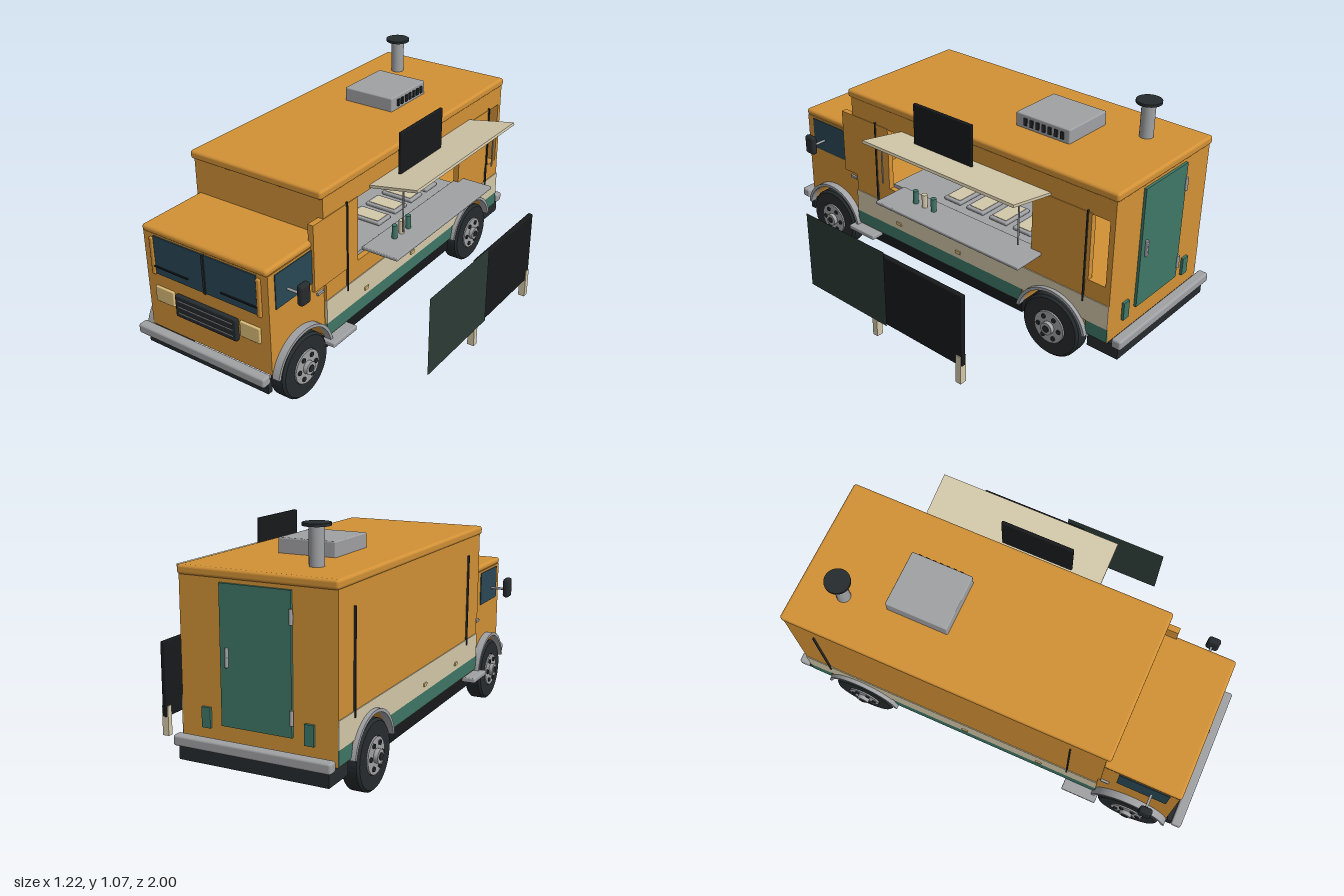
import * as THREE from 'three';
import { RoundedBoxGeometry } from 'three/addons/geometries/RoundedBoxGeometry.js';

const mat = (color) => new THREE.MeshStandardMaterial({ color });
const orange = mat(0xd29136), cream = mat(0xd3c8a9), green = mat(0x3f7767), steel = mat(0xa0a1a4);
const dark = mat(0x262b2e), black = mat(0x17191b), glass = mat(0x2a4856), lamp = mat(0xdcbd78);
const AXLE_Y = 0.15, ARCH_R = 0.175, FRONT_Z = 0.743, REAR_Z = -0.647;

export function createModel() {
  const model = new THREE.Group();
  model.name = 'foodTruck';
  const truck = new THREE.Group();
  truck.name = 'truck';
  truck.position.x = -0.187;
  model.add(truck);

  const add = (name, geo, material, x = 0, y = 0, z = 0, parent = truck) => {
    const m = new THREE.Mesh(geo, material);
    m.name = name;
    m.position.set(x, y, z);
    parent.add(m);
    return m;
  };
  // Box given by its limits on each axis, optionally rounded
  const box = (name, material, [x0, x1], [y0, y1], [z0, z1], r = 0, parent = truck) => {
    const s = [x1 - x0, y1 - y0, z1 - z0];
    const geo = r ? new RoundedBoxGeometry(...s, 2, r) : new THREE.BoxGeometry(...s);
    return add(name, geo, material, (x0 + x1) / 2, (y0 + y1) / 2, (z0 + z1) / 2, parent);
  };
  const rod = (name, material, r, len, x, y, z, axis = 'y', parent = truck, sides = 24) => {
    const geo = new THREE.CylinderGeometry(r, r, len, sides);
    if (axis === 'x') geo.rotateZ(Math.PI / 2);
    if (axis === 'z') geo.rotateX(Math.PI / 2);
    return add(name, geo, material, x, y, z, parent);
  };
  // Side outline with a wheel arch cut from its lower edge, extruded over x
  const archedSide = (name, material, [x0, x1], [y0, y1], [z0, z1], archZ) => {
    const a = Math.asin((y0 - AXLE_Y) / ARCH_R);
    const s = new THREE.Shape();
    s.moveTo(z0, y0);
    s.lineTo(archZ - ARCH_R * Math.cos(a), y0);
    s.absarc(archZ, AXLE_Y, ARCH_R, Math.PI - a, a, true);
    s.lineTo(z1, y0);
    s.lineTo(z1, y1);
    s.lineTo(z0, y1);
    const geo = new THREE.ExtrudeGeometry(s, { depth: x1 - x0, bevelEnabled: false, curveSegments: 24 });
    geo.rotateY(-Math.PI / 2);
    return add(name, geo, material, x1);
  };

  // Kitchen box
  const W = 0.347;
  archedSide('lowerBody', orange, [-W, W], [0.19, 0.46], [-0.93, 0.568], REAR_Z);
  box('leftWall', orange, [-W, -W + 0.03], [0.46, 0.87], [-0.93, 0.58]);
  box('rearWall', orange, [-W, W], [0.46, 0.87], [-0.93, -0.905]);
  box('frontWall', orange, [-W, W], [0.46, 0.87], [0.55, 0.58]);
  box('rightWallTop', orange, [W - 0.03, W], [0.77, 0.87], [-0.93, 0.58]);
  box('rightWallFront', orange, [W - 0.025, W + 0.003], [0.46, 0.775], [0.34, 0.65]);
  box('rightWallRear', orange, [W - 0.025, W + 0.003], [0.46, 0.775], [-0.82, -0.52]);
  box('roof', orange, [-0.353, 0.353], [0.865, 0.905], [-0.94, 0.6], 0.013);

  // Chassis
  box('chassis', black, [-0.335, 0.335], [0.125, 0.192], [-0.47, 0.565]);
  box('rearStep', dark, [-0.335, 0.335], [0.125, 0.192], [-0.98, -0.825]);
  box('frontValance', dark, [-0.335, 0.335], [0.125, 0.188], [0.93, 0.955]);
  for (const [z0, z1] of [[0.952, 1], [-1, -0.953]])
    box('bumper', steel, [-0.351, 0.351], [0.185, 0.23], [z0, z1], 0.01);

  // Cab
  archedSide('cab', orange, [-0.335, 0.335], [0.2, 0.67], [0.568, 0.925], FRONT_Z);
  box('cabRoof', orange, [-0.337, 0.337], [0.667, 0.7], [0.57, 0.933], 0.015);
  box('windshield', glass, [-0.277, 0.277], [0.477, 0.66], [0.92, 0.931]);
  box('windshieldDivider', dark, [-0.006, 0.006], [0.475, 0.662], [0.925, 0.936]);
  box('grille', dark, [-0.168, 0.168], [0.31, 0.415], [0.92, 0.945], 0.005);
  for (let i = 0; i < 3; i++)
    box('grilleSlat', steel, [-0.15, 0.15], [0.33 + i * 0.03, 0.335 + i * 0.03], [0.94, 0.949]);

  for (const s of [-1, 1]) {
    const span = (a, b) => (s > 0 ? [a, b] : [-b, -a]);
    // Cab fittings
    box('headlight', lamp, span(0.183, 0.287), [0.342, 0.415], [0.92, 0.937], 0.004);
    box('sideWindow', glass, span(0.33, 0.339), [0.5, 0.66], [0.65, 0.885]);
    box('doorPillar', orange, span(0.278, 0.3), [0.47, 0.65], [0.92, 0.936], 0.007);
    box('wiper', black, [s * 0.185 - 0.095, s * 0.185 + 0.095], [0.513, 0.518], [0.93, 0.938]);
    box('doorHandle', steel, span(0.335, 0.345), [0.425, 0.437], [0.58, 0.62]);
    rod('mirrorArm', steel, 0.006, 0.09, s * 0.37, 0.56, 0.81, 'x');
    box('mirror', dark, span(0.405, 0.438), [0.52, 0.617], [0.782, 0.842], 0.014);
    box('sideStep', steel, span(0.33, 0.4), [0.163, 0.187], [0.42, 0.59], 0.006);

    // Painted stripes, trim lines and markers
    archedSide('creamStripe', cream, span(W - 0.005, W + 0.004), [0.26, 0.375], [-0.93, 0.57], REAR_Z);
    box('greenStripe', green, span(W - 0.005, W + 0.004), [0.195, 0.26], [-0.475, 0.57]);
    box('greenStripe', green, span(W - 0.005, W + 0.004), [0.195, 0.26], [-0.93, -0.82]);
    for (const z of [0.42, -0.8])
      box('trimLine', dark, span(W, W + 0.009), [0.35, 0.785], [z - 0.003, z + 0.003]);
    for (const z of [0.28, -0.1])
      box('sideMarker', lamp, span(W, W + 0.01), [0.285, 0.3], [z - 0.015, z + 0.015]);
    box('tailLight', green, span(0.21, 0.25), [0.26, 0.345], [-0.942, -0.925]);

    // Wheels and arches
    for (const z of [FRONT_Z, REAR_Z]) {
      const wheel = new THREE.Group();
      wheel.name = 'wheel';
      wheel.position.set(s * 0.327, AXLE_Y, z);
      truck.add(wheel);
      const tyre = [[0, -0.04], [0.14, -0.04], [0.15, -0.03], [0.15, 0.03], [0.14, 0.04], [0.08, 0.04], [0.076, 0.028], [0, 0.028]]
        .map(([r, h]) => new THREE.Vector2(r, h));
      const tyreGeo = new THREE.LatheGeometry(tyre, 40);
      tyreGeo.rotateZ(-s * Math.PI / 2);
      add('tyre', tyreGeo, new THREE.MeshStandardMaterial({ color: 0x262b2e, flatShading: true }), 0, 0, 0, wheel);
      rod('rim', steel, 0.078, 0.02, s * 0.036, 0, 0, 'x', wheel, 32);
      rod('hub', steel, 0.03, 0.03, s * 0.05, 0, 0, 'x', wheel);
      rod('hubCap', dark, 0.016, 0.006, s * 0.066, 0, 0, 'x', wheel);
      for (let i = 0; i < 6; i++) {
        const a = i * Math.PI / 3;
        rod('wheelBolt', dark, 0.011, 0.01, s * 0.047, 0.055 * Math.sin(a), 0.055 * Math.cos(a), 'x', wheel, 8);
      }
      const ring = new THREE.Shape();
      ring.absarc(0, 0, 0.188, 0.2, Math.PI - 0.2, false);
      ring.absarc(0, 0, 0.174, Math.PI - 0.2, 0.2, true);
      const ringGeo = new THREE.ExtrudeGeometry(ring, { depth: 0.035, bevelEnabled: false, curveSegments: 24 });
      ringGeo.rotateY(-Math.PI / 2);
      add('wheelArch', ringGeo, steel, s > 0 ? 0.37 : -0.335, AXLE_Y, z);
    }
  }
  for (const z of [FRONT_Z, REAR_Z]) rod('axle', steel, 0.022, 0.6, 0, AXLE_Y, z, 'x');

  // Rear door
  box('rearDoor', green, [-0.157, 0.157], [0.28, 0.85], [-0.942, -0.925]);
  for (const y of [0.36, 0.75]) rod('doorHinge', steel, 0.008, 0.06, -0.157, y, -0.943);
  box('rearDoorHandle', steel, [0.118, 0.13], [0.52, 0.6], [-0.955, -0.94], 0.004);

  // Serving hatch: interior, shelf, trays and bottles
  box('interiorPanel', steel, [-0.318, -0.308], [0.46, 0.78], [-0.56, 0.4]);
  box('worktop', steel, [-0.02, 0.32], [0.455, 0.477], [-0.52, 0.34]);
  box('servingShelf', steel, [0.32, 0.507], [0.473, 0.488], [-0.575, 0.27], 0.004);
  for (let i = 0; i < 4; i++) {
    const z = 0.01 - i * 0.137;
    box('tray', steel, [0.1, 0.27], [0.477, 0.494], [z - 0.05, z + 0.05], 0.006);
    box('trayFood', cream, [0.115, 0.255], [0.485, 0.496], [z - 0.037, z + 0.037]);
  }
  [green, cream, green].forEach((m, i) => {
    rod('bottle', m, 0.013, 0.065, 0.395, 0.52, 0.12 - i * 0.056);
  });

  // Awning with struts and roof sign
  const awning = box('awning', cream, [0.345, 0.59], [0.8, 0.813], [-0.61, 0.25]);
  awning.rotation.z = 0.18;
  for (const z of [0.22, -0.57]) rod('awningStrut', steel, 0.004, 0.215, 0.502, 0.705, z, 'y', truck, 8);
  box('roofSign', black, [0.398, 0.414], [0.795, 0.997], [-0.235, 0.105], 0.005);

  // Roof equipment
  box('roofVent', steel, [-0.133, 0.132], [0.9, 0.97], [-0.535, -0.245], 0.006);
  for (let i = 0; i < 7; i++)
    box('ventSlot', dark, [0.13, 0.139], [0.92, 0.953], [-0.506 + i * 0.033, -0.49 + i * 0.033]);
  rod('chimney', steel, 0.031, 0.17, -0.153, 0.98, -0.73);
  rod('chimneyCap', dark, 0.057, 0.012, -0.153, 1.068, -0.73, 'y', truck, 32);

  // Free-standing menu board
  const board = new THREE.Group();
  board.name = 'menuBoard';
  model.add(board);
  box('boardPanel', black, [0.561, 0.585], [0.09, 0.447], [-0.503, 0.03], 0.006, board);
  for (const z of [0.02, -0.485])
    box('boardLeg', cream, [0.556, 0.589], [0, 0.142], [z - 0.014, z + 0.014], 0, board);
  const sheetGeo = new THREE.PlaneGeometry(0.5, 0.385);
  sheetGeo.rotateY(Math.PI / 2);
  const sheetMat = new THREE.MeshStandardMaterial({ color: 0x2b3a35, side: THREE.DoubleSide });
  add('menuSheet', sheetGeo, sheetMat, 0.591, 0.282, 0.19, board);

  return model;
}
